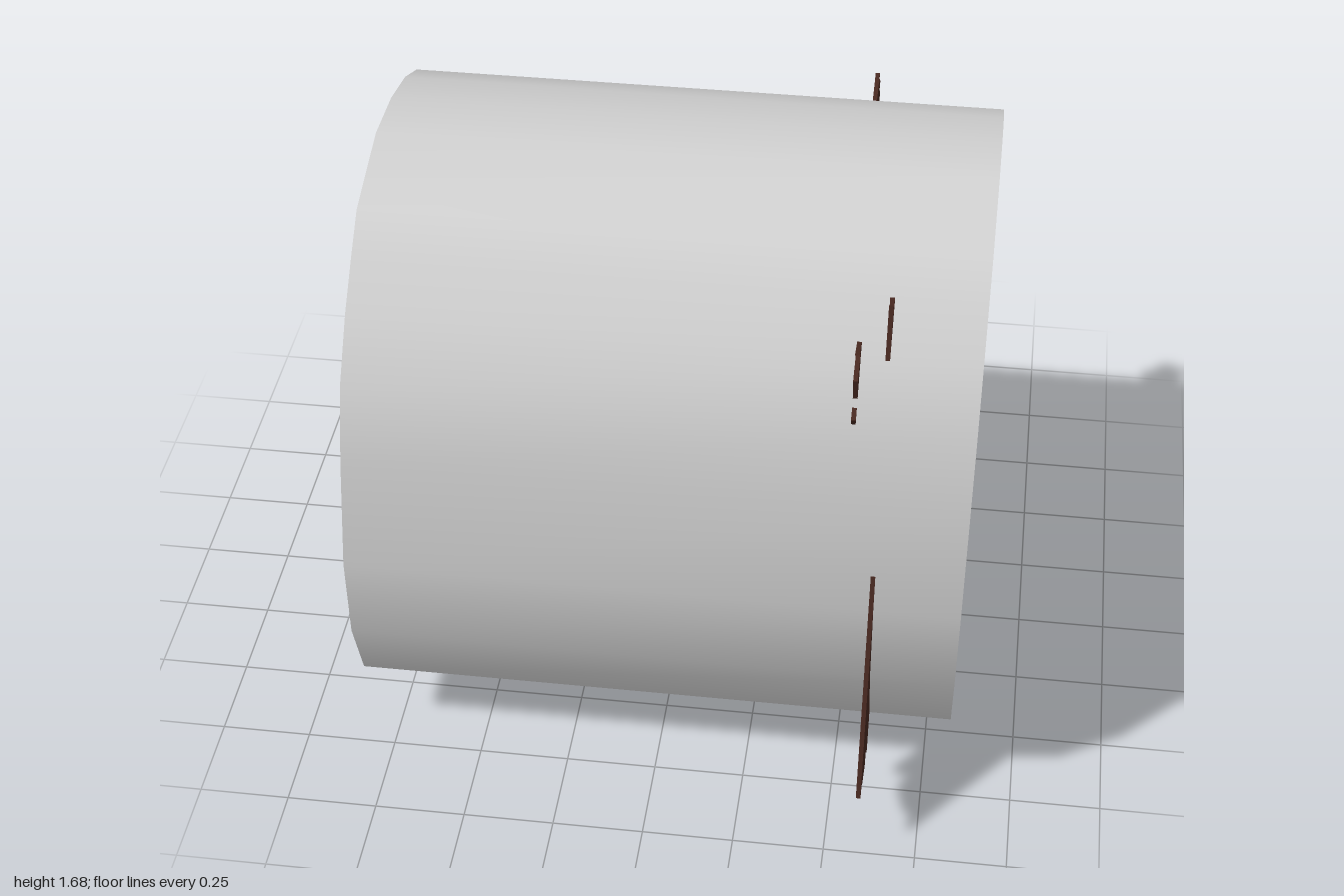
import * as THREE from 'three';

const mat = (name, color, side = THREE.FrontSide) => {
  const m = new THREE.MeshStandardMaterial({ color, side });
  m.name = name;
  return m;
};

export function createModel() {
  const stone = mat('stone grey', 0xd2d2d2, THREE.DoubleSide);
  const wood = mat('plank brown', 0x492921);
  const darkWood = mat('cart brown', 0x40241a, THREE.DoubleSide);
  const root = new THREE.Group();

  const add = (parent, name, geo, material, x = 0, y = 0, z = 0) => {
    const mesh = new THREE.Mesh(geo, material);
    mesh.name = name;
    mesh.position.set(x, y, z);
    parent.add(mesh);
    return mesh;
  };

  // Skin between two closed or open rings given as [x, y, z] lists
  const loft = (a, b) => {
    const n = a.length, index = [];
    for (let i = 0; i < n - 1; i++) index.push(i, i + 1, n + i, i + 1, n + i + 1, n + i);
    const g = new THREE.BufferGeometry();
    g.setAttribute('position', new THREE.Float32BufferAttribute([...a, ...b].flat(), 3));
    g.setIndex(index);
    g.computeVertexNormals();
    return g;
  };

  // Cave tunnel: open arch section [z, y] running along x
  const arch = [[0.695, 0.237], [0.79, 0.46], [0.813, 0.72], [0.76, 1.03], [0.705, 1.24], [0.60, 1.40],
    [0.50, 1.51], [0.41, 1.60], [0.16, 1.678], [-0.03, 1.672], [-0.20, 1.635], [-0.34, 1.575],
    [-0.46, 1.475], [-0.575, 1.33], [-0.65, 1.15], [-0.69, 0.93], [-0.755, 0.70], [-0.715, 0.46], [-0.62, 0.237]];
  const ring = (pts, x) => pts.map(([z, y]) => [x + 0.008 * (y - 0.96) / 0.72, y, z]);
  add(root, 'tunnelWall', loft(ring(arch, 0.827), ring(arch, -0.827)), stone);
  const base = [arch[arch.length - 1], arch[0]];
  add(root, 'tunnelFloor', loft(ring(base, 0.827), ring(base, -0.827)), stone);

  // Splintered planks: outlines are [z, y], thin along x
  const plank = (name, x, pts) => {
    const shape = new THREE.Shape(pts.map(([z, y]) => new THREE.Vector2(-z, y)));
    const g = new THREE.ExtrudeGeometry(shape, { depth: 0.012, bevelEnabled: false });
    g.rotateY(Math.PI / 2);
    add(root, name, g, wood, x - 0.006);
  };
  plank('frontPost', 0.588, [[0.56, 1.53], [0.54, 1.48], [0.51, 1.52], [0.49, 1.44], [0.43, 1.49],
    [0.32, 1.46], [0.33, 1.39], [0.30, 1.45], [0.73, 0.125], [0.76, 0.145], [0.78, 0.20], [0.82, 0.15],
    [0.93, 0.19], [0.95, 0.22], [0.98, 0.20], [1.0, 0.21]]);
  plank('backPost', 0.588, [[-0.03, 1.42], [-0.055, 1.39], [-0.07, 1.43], [-0.17, 1.44], [-0.19, 1.40],
    [-0.22, 1.455], [-0.24, 1.41], [-0.28, 1.465], [-0.30, 1.44], [-1.0, 0.045], [-0.95, 0.07],
    [-0.93, 0.04], [-0.82, 0.02], [-0.78, 0.10], [-0.765, 0.01], [-0.74, 0]]);
  plank('risingBeam', 0.47, [[0.64, 1.10], [0.60, 1.05], [0.62, 1.02], [0.57, 0.91], [0.46, 0.95],
    [-0.60, 1.345], [-0.62, 1.355], [-0.59, 1.37], [-0.615, 1.44], [-0.57, 1.46], [-0.60, 1.48],
    [-0.58, 1.50], [-0.54, 1.49], [-0.555, 1.535]]);
  plank('fallingBeam', 0.513, [[0.66, 1.44], [0.61, 1.415], [0.69, 1.38], [0.67, 1.31], [0.64, 1.30],
    [0.71, 1.27], [0.70, 1.25], [0.65, 1.24], [-0.53, 1.00], [-0.60, 0.98], [-0.55, 1.01], [-0.605, 0.99],
    [-0.62, 1.075], [-0.57, 1.09], [-0.62, 1.125], [-0.58, 1.135], [-0.635, 1.17]]);

  // Stalagmite clusters: four spikes in a row, [z offset, height, radius]
  const spikes = [[0, 0.473, 0.053], [0.077, 0.352, 0.046], [0.142, 0.232, 0.029], [-0.073, 0.232, 0.038]];
  const profile = [[0.85, 0], [1, 0.04], [0.9, 0.22], [0.68, 0.45], [0.36, 0.72], [0, 1]];
  for (const [x, z] of [[0.17, -0.44], [-0.51, -0.022], [-0.51, 0.396]]) {
    const cluster = new THREE.Group();
    cluster.name = 'stalagmiteCluster';
    cluster.position.set(x, 0.231, z);
    root.add(cluster);
    for (const [dz, h, r] of spikes) {
      const pts = profile.map(([a, b]) => new THREE.Vector2(a * r, b * h));
      add(cluster, 'stalagmite', new THREE.LatheGeometry(pts, 12), stone, 0, 0, dz);
    }
  }

  // Small ore cart: flared body, rim, ribs, axles and wheels
  const cart = new THREE.Group();
  cart.name = 'cart';
  cart.position.set(-0.22, 0.24, -0.002);
  root.add(cart);
  const rect = (hx, y, hz) => [[hx, y, hz], [hx, y, -hz], [-hx, y, -hz], [-hx, y, hz], [hx, y, hz]];
  const body = loft(rect(0.09, 0.065, 0.066), rect(0.13, 0.18, 0.094)).toNonIndexed();
  body.computeVertexNormals();
  add(cart, 'cartBody', body, darkWood);
  add(cart, 'cartBottom', new THREE.BoxGeometry(0.2, 0.02, 0.14), darkWood, 0, 0.065, 0);
  for (const s of [-1, 1]) {
    add(cart, 'sideRim', new THREE.BoxGeometry(0.28, 0.024, 0.018), darkWood, 0, 0.18, s * 0.1);
    add(cart, 'endRim', new THREE.BoxGeometry(0.018, 0.024, 0.2), darkWood, s * 0.135, 0.182, 0);
    for (const k of [-1, 0, 1]) {
      const rib = add(cart, 'endRib', new THREE.BoxGeometry(0.012, 0.11, 0.018), darkWood, s * 0.114, 0.125, k * 0.074);
      rib.rotation.set(k * 0.26, 0, -s * 0.33);
      const sideRib = add(cart, 'sideRib', new THREE.BoxGeometry(0.018, 0.11, 0.012), darkWood, k * 0.08, 0.125, s * 0.084);
      sideRib.rotation.x = s * 0.26;
    }
    const axle = add(cart, 'axle', new THREE.CylinderGeometry(0.012, 0.012, 0.16, 8), darkWood, s * 0.07, 0.04, 0);
    axle.rotation.x = Math.PI / 2;
    for (const t of [-1, 1]) {
      const wheel = add(cart, 'wheel', new THREE.CylinderGeometry(0.03, 0.03, 0.034, 12), darkWood, s * 0.07, 0.034, t * 0.077);
      wheel.rotation.x = Math.PI / 2;
    }
  }

  // Knobbly stone nodule on the inner front wall
  const nodule = new THREE.Group();
  nodule.name = 'wallNodule';
  nodule.position.set(-0.36, 0.91, 0.68);
  root.add(nodule);
  add(nodule, 'noduleCore', new THREE.SphereGeometry(0.055, 10, 8), stone, 0, 0, 0.015);
  add(nodule, 'noduleRing', new THREE.TorusGeometry(0.028, 0.013, 6, 12), stone, -0.02, 0, -0.045).rotation.y = 0.5;
  for (let i = 0; i < 6; i++) {
    const a = i * Math.PI / 3 + 0.3;
    const r = 0.026 + 0.006 * (i % 2);
    add(nodule, 'noduleLump', new THREE.IcosahedronGeometry(r, 1), stone, Math.cos(a) * 0.05, Math.sin(a) * 0.042, 0);
  }
  return root;
}
